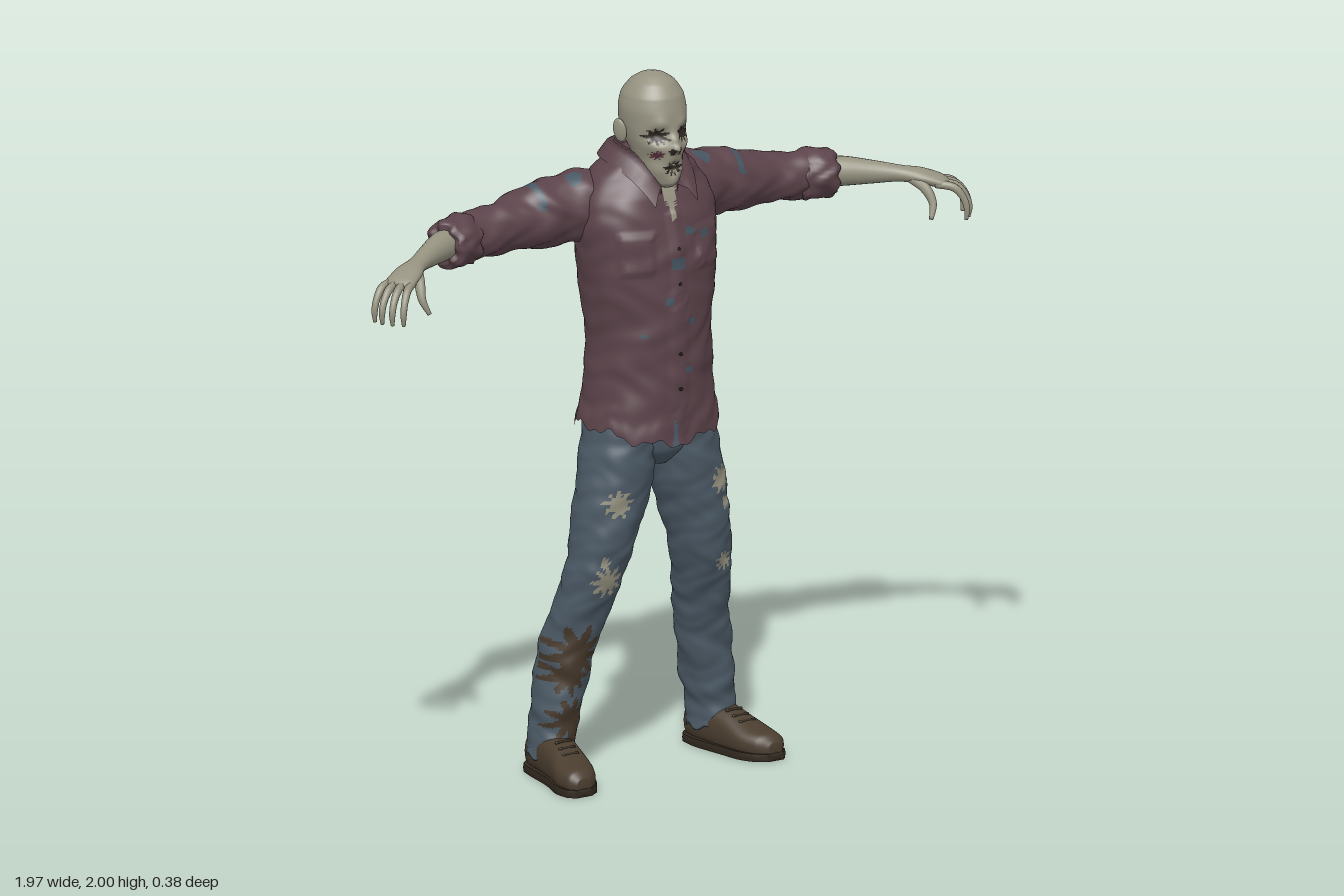
import * as THREE from 'three';

const mat = (name, color) => Object.assign(new THREE.MeshStandardMaterial({ color, side: THREE.DoubleSide }), { name });
const M = {
  skin: mat('pale skin', 0x959280), shirt: mat('maroon cloth', 0x5b434a), denim: mat('denim', 0x4b5965),
  shoe: mat('brown leather', 0x4a3d2f), sole: mat('dark sole', 0x31291f), mud: mat('mud', 0x46382b),
  dark: mat('dark hollow', 0x2b2421), flesh: mat('raw flesh', 0x57303a), patch: mat('faded blue', 0x455561),
  bone: mat('teeth', 0xa39c84),
};
const V = (x, y, z) => new THREE.Vector3(x, y, z);
const Y = V(0, 1, 0), X = V(1, 0, 0), Z = V(0, 0, 1);
const gauss = (dx, dy, r) => Math.exp(-(dx * dx + dy * dy) / (r * r));
const sgnPow = (v, e) => Math.sign(v) * Math.abs(v) ** e;

// Soft cloth folds in the range -1..1
const folds = (p, f) => Math.sin(f * p.x + 2 * Math.sin(f * 0.6 * p.y + 3 * p.z)) * Math.sin(f * 0.9 * p.y + 1.5 * Math.sin(f * 0.7 * p.z + 2));
// Ragged blob test around a point on the front
const blob = (p, [x, y, r, k = 1]) => Math.hypot(p.x - x, (p.y - y) / k) < r * (1 + 0.35 * Math.sin(9 * Math.atan2(p.y - y, p.x - x) + x * 40));

// Skin over rings [x, y, z, halfWidth, halfDepth]; shape moves points, paint picks a colour per face
function loft(name, keys, { n = 24, m = 24, axis, ref = X, e = 1, capStart = true, capEnd = true, shape, paint, mats = [M.skin] } = {}) {
  const path = new THREE.CatmullRomCurve3(keys.map(k => V(k[0], k[1], k[2])));
  const size = new THREE.CatmullRomCurve3(keys.map(k => V(k[3], k[4], 0)));
  const pts = [], out = V(0, 0, 0);
  const ring = (t, scale) => {
    const c = path.getPoint(t), s = size.getPoint(t), T = axis || path.getTangent(t);
    const S = ref.clone().addScaledVector(T, -ref.dot(T)).normalize(), B = T.clone().cross(S);
    for (let j = 0; j < n; j++) {
      const a = j / n * Math.PI * 2;
      out.set(0, 0, 0).addScaledVector(S, s.x * sgnPow(Math.cos(a), e)).addScaledVector(B, s.y * sgnPow(Math.sin(a), e));
      const p = c.clone().addScaledVector(out, scale);
      if (shape) shape(p, out.normalize(), a, t);
      pts.push(p);
    }
  };
  if (capStart) ring(0, 0.001);
  for (let i = 0; i <= m; i++) ring(i / m, 1);
  if (capEnd) ring(1, 0.001);
  const faces = mats.map(() => []), mid = V(0, 0, 0);
  const tri = (a, b, c) => {
    mid.copy(pts[a]).add(pts[b]).add(pts[c]).divideScalar(3);
    faces[paint ? paint(mid) : 0].push(a, b, c);
  };
  for (let i = 0; i < pts.length / n - 1; i++) for (let j = 0; j < n; j++) {
    const a = i * n + j, b = i * n + (j + 1) % n;
    tri(a, b, b + n);
    tri(a, b + n, a + n);
  }
  const g = new THREE.BufferGeometry().setFromPoints(pts);
  g.setIndex(faces.flat());
  let start = 0;
  faces.forEach((f, i) => { if (f.length) g.addGroup(start, f.length, i); start += f.length; });
  g.computeVertexNormals();
  const mesh = new THREE.Mesh(g, mats);
  mesh.name = name;
  return mesh;
}
const part = (name, geo, material) => Object.assign(new THREE.Mesh(geo, material), { name });

function makeHead() {
  const head = new THREE.Group();
  head.name = 'head';
  // Face relief: [x, y, radius, push forward]
  const relief = [[0.04, 1.838, 0.021, -0.022], [0.035, 1.872, 0.02, 0.007], [0, 1.805, 0.013, 0.02], [0, 1.83, 0.012, 0.01],
    [0, 1.745, 0.018, -0.02], [0.058, 1.808, 0.018, 0.007], [0.045, 1.77, 0.02, -0.009], [0, 1.703, 0.018, 0.006]];
  head.add(loft('skull', [[0, 1.688, 0.095, 0.02, 0.018], [0, 1.7, 0.085, 0.038, 0.038], [0, 1.735, 0.07, 0.055, 0.065], [0, 1.78, 0.048, 0.068, 0.092],
    [0, 1.82, 0.034, 0.08, 0.106], [0, 1.86, 0.024, 0.088, 0.105], [0, 1.9, 0.022, 0.091, 0.102], [0, 1.94, 0.022, 0.084, 0.092],
    [0, 1.975, 0.024, 0.06, 0.066], [0, 1.993, 0.026, 0.033, 0.038], [0, 2, 0.026, 0.006, 0.006]], {
    n: 80, m: 100, axis: Y,
    shape: p => {
      if (p.z < 0.06) return;
      const x = Math.abs(p.x);
      for (const [bx, by, r, d] of relief) p.z += d * gauss(x - bx, p.y - by, r);
    },
    paint: p => {
      if (p.z < 0.06) return 0;
      const q = { x: Math.abs(p.x), y: p.y };
      if (blob(q, [0.042, 1.838, 0.025, 0.75]) || blob(q, [0.012, 1.797, 0.007, 1.4]) || blob(p, [0, 1.745, 0.024, 0.7])) return 1;
      return Math.hypot((p.z - 0.1) / 0.03, (p.y - 1.782) / 0.024) < 1 && p.x > 0.03 || blob(p, [-0.045, 1.785, 0.012]) ? 2 : 0;
    },
    mats: [M.skin, M.dark, M.flesh],
  }));
  head.add(loft('neck', [[0, 1.66, -0.015, 0.07, 0.07], [0, 1.72, 0, 0.058, 0.062], [0, 1.77, 0.008, 0.054, 0.058], [0, 1.84, 0.012, 0.06, 0.06]], { axis: Y }));
  for (const s of [-1, 1]) {
    const ear = part('ear', new THREE.SphereGeometry(1, 16, 12), M.skin);
    ear.scale.set(0.009, 0.034, 0.021);
    ear.position.set(s * 0.095, 1.84, 0.004);
    ear.rotation.set(-0.15, -s * 0.45, -s * 0.15);
    head.add(ear);
  }
  for (const y of [1.755, 1.737]) for (let i = -2; i <= 2; i++) {
    const tooth = part('tooth', new THREE.BoxGeometry(0.006, 0.008, 0.006), M.bone);
    tooth.position.set(i * 0.0075, y, 0.123 - Math.abs(i) * 0.002);
    head.add(tooth);
  }
  return head;
}

function makeShirt() {
  const shirt = new THREE.Group();
  shirt.name = 'shirt';
  const patches = [[0.0, 1.48, 0.02], [-0.03, 1.375, 0.014], [0.05, 1.56, 0.013], [0.1, 1.545, 0.013], [0.03, 1.17, 0.014], [-0.1, 1.28, 0.01], [0.04, 1.31, 0.012]];
  const pocket = p => Math.abs(Math.abs(p.x) - 0.115) < 0.045 && p.y > 1.455 + 0.2 * Math.max(0, Math.abs(Math.abs(p.x) - 0.115) - 0.02) && p.y < 1.565;
  shirt.add(loft('torso', [[0, 0.985, -0.003, 0.203, 0.168], [0, 1.05, 0, 0.195, 0.16], [0, 1.12, 0.003, 0.185, 0.153], [0, 1.2, 0.005, 0.178, 0.152], [0, 1.3, 0.002, 0.182, 0.155],
    [0, 1.4, -0.004, 0.192, 0.16], [0, 1.5, -0.014, 0.203, 0.164], [0, 1.6, -0.026, 0.208, 0.158], [0, 1.66, -0.03, 0.195, 0.142],
    [0, 1.71, -0.03, 0.16, 0.118], [0, 1.75, -0.02, 0.115, 0.095], [0, 1.77, -0.012, 0.085, 0.082]], {
    n: 110, m: 100, axis: Y, e: 0.92, capStart: false,
    shape: (p, o, a) => {
      p.addScaledVector(o, 0.004 * folds(p, 21) + 0.003 * folds(p, 45));
      if (p.z > 0.05 && pocket(p)) p.z += 0.007;
      if (p.z > 0 && Math.abs(p.x) < 0.02 && p.y < 1.62) p.z += 0.005;
      const hem = Math.max(0, 1 - (p.y - 0.985) / 0.1);
      p.y += hem * (0.045 * Math.cos(a) ** 2 - 0.02 + 0.01 * Math.sin(9 * a) + 0.006 * Math.sin(23 * a));
    },
    paint: p => {
      if (p.z < 0) return 0;
      if (Math.abs(p.x) < (p.y - 1.59) * 0.27) return 1;
      if (p.y < 1.04 && Math.abs(p.x + 0.015) < (1.04 - p.y) * 0.15) return 3;
      return patches.some(([x, y, r]) => Math.abs(p.x - x) < r && Math.abs(p.y - y) < r * 0.8) ? 2 : 0;
    },
    mats: [M.shirt, M.skin, M.patch, M.denim],
  }));
  // Fold-over collar running around the back to two front points
  const pts = [], idx = [], K = 40;
  for (let i = 0; i <= K; i++) {
    const s = i / K * 2 - 1, q = s ** 6, t = s * 2.8, b = s * 2.55, f = s * s;
    const top = V(0.082 * Math.sin(t), 1.8 - 0.11 * q, -0.015 - Math.cos(t) * (0.078 + 0.055 * f));
    const low = V(0.125 * Math.sin(b), 1.755 - 0.11 * q, -0.03 - Math.cos(b) * (0.1 + 0.11 * f));
    pts.push(V(top.x * 0.9, top.y - 0.06, top.z * 0.9), top, top.clone().lerp(low, 0.5).add(V(0, 0.012, 0)), low);
    if (i < K) for (let j = 0; j < 3; j++) {
      const a = i * 4 + j;
      idx.push(a, a + 1, a + 5, a, a + 5, a + 4);
    }
  }
  const collar = new THREE.BufferGeometry().setFromPoints(pts);
  collar.setIndex(idx);
  collar.computeVertexNormals();
  shirt.add(part('collar', collar, M.shirt));
  for (let i = 0; i < 5; i++) {
    const button = part('button', new THREE.CylinderGeometry(0.005, 0.005, 0.006, 10).rotateX(Math.PI / 2), M.dark);
    button.position.set(0, 1.12 + i * 0.1, [0.166, 0.165, 0.163, 0.162, 0.156][i]);
    shirt.add(button);
  }
  return shirt;
}

function makeArm(s) {
  const arm = new THREE.Group();
  arm.name = s > 0 ? 'leftArm' : 'rightArm';
  const side = keys => keys.map(([x, ...r]) => [s * x, ...r]);
  arm.add(loft('sleeve', side([[0.1, 1.625, -0.06, 0.085, 0.085], [0.19, 1.617, -0.08, 0.1, 0.09], [0.28, 1.61, -0.09, 0.095, 0.084], [0.4, 1.597, -0.092, 0.077, 0.073],
    [0.5, 1.59, -0.082, 0.067, 0.066], [0.58, 1.588, -0.068, 0.066, 0.064]]), {
    n: 48, m: 60, ref: Y,
    shape: (p, o) => p.addScaledVector(o, 0.005 * folds(p, 38) + 0.003 * folds(p, 70)),
    paint: p => Math.hypot(s * p.x - 0.21, p.z + 0.05) < 0.025 && p.y > 1.66 || s > 0 && Math.hypot(p.x - 0.39, p.z + 0.135) < 0.03 && p.y > 1.6
      || Math.abs(s * p.x - 0.33) < 0.01 && p.y > 1.64 ? 1 : 0,
    mats: [M.shirt, M.patch],
  }));
  arm.add(loft('rolledCuff', side([[0.545, 1.589, -0.073, 0.06, 0.06], [0.56, 1.589, -0.07, 0.072, 0.07], [0.6, 1.588, -0.058, 0.071, 0.07],
    [0.635, 1.59, -0.046, 0.069, 0.066], [0.648, 1.59, -0.042, 0.055, 0.053]]), {
    n: 48, m: 24, ref: Y, mats: [M.shirt],
    shape: (p, o, a) => { p.addScaledVector(o, 0.005 * folds(p, 75)); p.x += s * 0.005 * Math.sin(7 * a); },
  }));
  arm.add(loft('forearmAndPalm', side([[0.6, 1.59, -0.065, 0.042, 0.042], [0.66, 1.59, -0.034, 0.042, 0.04], [0.74, 1.586, 0.015, 0.032, 0.031], [0.8, 1.582, 0.055, 0.023, 0.027],
    [0.85, 1.574, 0.086, 0.022, 0.04], [0.895, 1.56, 0.112, 0.018, 0.044], [0.915, 1.552, 0.123, 0.01, 0.036]]), { ref: Y, m: 40 }));
  // Four drooping fingers from little finger to forefinger
  for (let k = 0; k < 4; k++) {
    const o = (k - 1.5) * 0.022, ang = 0.32 + k * 0.12, len = [0.068, 0.08, 0.08, 0.072][k];
    const at = (d, drop, r) => [0.895 - 0.5 * o + Math.cos(ang) * d, 1.558 - drop, 0.112 + 0.87 * o + Math.sin(ang) * d, r, r];
    arm.add(loft('finger', side([at(-0.015, 0, 0.011), at(len * 0.5, 0.008, 0.0115), at(len * 0.85, 0.035, 0.01), at(len, 0.068, 0.009), at(len * 0.97, 0.1, 0.005)]),
      { n: 10, m: 16, ref: V(-s * 0.5, 0, 0.87) }));
  }
  arm.add(loft('thumb', side([[0.82, 1.572, 0.085, 0.016, 0.016], [0.838, 1.55, 0.122, 0.015, 0.015], [0.847, 1.51, 0.148, 0.011, 0.011], [0.832, 1.47, 0.162, 0.006, 0.006]]),
    { n: 10, m: 14 }));
  return arm;
}

function makeLeg(s) {
  const leg = new THREE.Group();
  leg.name = s > 0 ? 'leftLeg' : 'rightLeg';
  const side = keys => keys.map(([x, ...r]) => [s * x, ...r]);
  const holes = s > 0 ? [[0.18, 0.82, 0.034], [0.2, 0.575, 0.024], [0.2, 0.75, 0.016]] : [[-0.165, 0.8, 0.032], [-0.185, 0.575, 0.036], [-0.2, 0.63, 0.014]];
  const mud = s > 0 ? [] : [[-0.24, 0.36, 0.055, 1.2], [-0.26, 0.3, 0.045], [-0.255, 0.17, 0.05], [-0.23, 0.12, 0.03]];
  leg.add(loft('trouserLeg', side([[0.268, 0.06, -0.08, 0.066, 0.074], [0.262, 0.12, -0.083, 0.066, 0.073], [0.25, 0.2, -0.08, 0.072, 0.079], [0.23, 0.32, -0.07, 0.077, 0.08],
    [0.212, 0.42, -0.053, 0.08, 0.082], [0.19, 0.52, -0.02, 0.083, 0.086], [0.17, 0.62, 0.005, 0.088, 0.09], [0.14, 0.75, 0.01, 0.1, 0.1],
    [0.113, 0.87, 0.01, 0.108, 0.108], [0.098, 0.97, 0.003, 0.1, 0.115], [0.095, 1.05, 0, 0.09, 0.11]]), {
    n: 64, m: 120, axis: Y,
    shape: (p, o, a, t) => {
      p.addScaledVector(o, (0.003 + 0.003 * (1 - t)) * folds(p, 34) + 0.002 * folds(p, 70));
      if (p.z > -0.02) for (const [x, y, r] of holes) p.z -= 0.006 * gauss(p.x - x, p.y - y, r);
      if (t < 0.03) p.y += 0.008 * Math.sin(7 * a);
    },
    paint: p => p.z > -0.02 && holes.some(h => blob(p, h)) ? 1 : p.z > -0.09 && mud.some(h => blob(p, h)) ? 2 : 0,
    mats: [M.denim, M.skin, M.mud],
  }));
  const shoe = side([[0.261, 0.055, -0.165, 0.025, 0.035], [0.264, 0.06, -0.14, 0.05, 0.055], [0.27, 0.066, -0.07, 0.058, 0.068], [0.283, 0.055, 0.01, 0.057, 0.06],
    [0.3, 0.042, 0.085, 0.062, 0.043], [0.312, 0.036, 0.138, 0.047, 0.036], [0.318, 0.03, 0.16, 0.022, 0.02]]);
  leg.add(loft('shoe', shoe, { n: 32, m: 36, axis: Z, e: 0.85, mats: [M.shoe], shape: p => { p.y = Math.max(p.y, 0.018); } }));
  leg.add(loft('sole', shoe.map(([x, y, z, w]) => [x, 0.011, z * 1.01, w + 0.004, 0.05]),
    { n: 32, m: 30, axis: Z, e: 0.6, mats: [M.sole], shape: p => { p.y = THREE.MathUtils.clamp(p.y, 0, 0.022); } }));
  for (let i = 0; i < 3; i++) {
    const lace = part('lace', new THREE.CapsuleGeometry(0.005, 0.045, 4, 8).rotateZ(Math.PI / 2), M.sole);
    lace.position.set(s * (0.283 + i * 0.005), 0.115 - i * 0.011, 0.005 + i * 0.025);
    leg.add(lace);
  }
  return leg;
}

export function createModel() {
  const model = new THREE.Group();
  model.name = 'figure';
  model.add(makeHead(), makeShirt());
  model.add(loft('trouserSeat', [[0, 0.885, 0, 0.04, 0.075], [0, 0.93, 0, 0.13, 0.11], [0, 1, 0, 0.182, 0.12], [0, 1.08, 0, 0.175, 0.13]], { n: 40, axis: Y, mats: [M.denim] }));
  for (const s of [-1, 1]) model.add(makeArm(s), makeLeg(s));
  return model;
}
